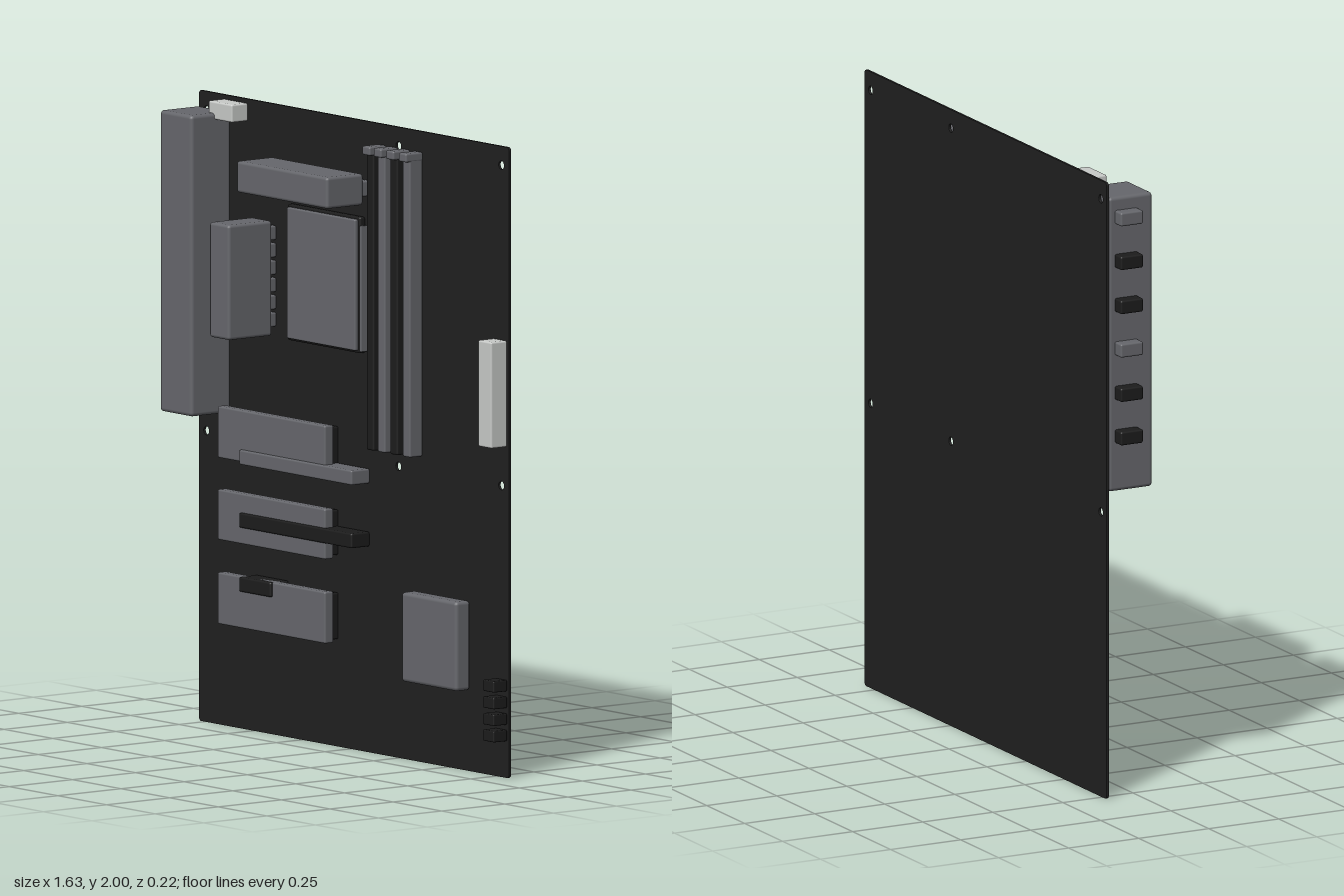
import * as THREE from 'three';
import { RoundedBoxGeometry } from 'three/addons/geometries/RoundedBoxGeometry.js';

const material = (name, color) => {
  const m = new THREE.MeshStandardMaterial({ color });
  m.name = name;
  return m;
};

export function createModel() {
  const board = material('board black', 0x202020);
  const dark = material('plastic black', 0x1c1c1c);
  const grey = material('metal grey', 0x66676c);
  const light = material('connector white', 0xc8cac8);
  const model = new THREE.Group();
  model.name = 'motherboard';
  const face = -0.102; // front surface of the board

  // Softened box given by its limits on each axis
  function block(name, mat, [x0, x1], [y0, y1], [z0, z1], bevel = 0.006) {
    const w = x1 - x0, h = y1 - y0, d = z1 - z0;
    const r = Math.min(bevel, 0.3 * Math.min(w, h, d));
    const mesh = new THREE.Mesh(new RoundedBoxGeometry(w, h, d, 2, r), mat);
    mesh.position.set((x0 + x1) / 2, (y0 + y1) / 2, (z0 + z1) / 2);
    mesh.name = name;
    model.add(mesh);
  }

  // Circuit board with rounded corners and screw holes
  const L = -0.78, R = 0.815, c = 0.012;
  const outline = new THREE.Shape();
  outline.absarc(R - c, c, c, -Math.PI / 2, 0);
  outline.absarc(R - c, 2 - c, c, 0, Math.PI / 2);
  outline.absarc(L + c, 2 - c, c, Math.PI / 2, Math.PI);
  outline.absarc(L + c, c, c, Math.PI, Math.PI * 1.5);
  for (const x of [-0.742, 0.246, 0.775]) {
    for (const y of [0.924, 1.94]) {
      outline.holes.push(new THREE.Path().absarc(x, y, 0.014, 0, Math.PI * 2, true));
    }
  }
  const pcb = new THREE.Mesh(
    new THREE.ExtrudeGeometry(outline, { depth: 0.008, bevelEnabled: false, curveSegments: 8 }), board);
  pcb.position.z = face - 0.008;
  pcb.name = 'circuitBoard';
  model.add(pcb);

  // Rear port cover and its ports
  block('portCover', grey, [-0.78, -0.615], [0.995, 1.95], [face, 0.055], 0.012);
  [1.885, 1.743, 1.6, 1.459, 1.315, 1.174].forEach((y, i) =>
    block('port', i % 3 ? dark : grey, [-0.82, -0.77], [y - 0.022, y + 0.022], [-0.08, 0]));

  // Power connectors
  block('processorPowerConnector', light, [-0.648, -0.527], [1.93, 1.987], [face, -0.037]);
  block('mainPowerConnector', light, [0.738, 0.807], [1.05, 1.387], [face, -0.037]);

  // Processor socket, lid and lever
  block('processorSocket', dark, [-0.297, 0.077], [1.264, 1.696], [face, -0.08]);
  block('processorLid', grey, [-0.287, 0.066], [1.272, 1.688], [-0.085, -0.068]);
  block('socketLever', grey, [0.079, 0.089], [1.27, 1.67], [face, -0.075], 0.003);

  // Heat sinks over rows of voltage regulators
  block('topHeatSink', grey, [-0.353, 0.115], [1.74, 1.84], [-0.065, 0.08], 0.01);
  block('sideHeatSink', grey, [-0.456, -0.354], [1.272, 1.637], [-0.065, 0.108], 0.01);
  for (let i = 0; i < 8; i++) {
    const x = -0.325 + i * 0.055;
    block('topRegulator', grey, [x, x + 0.046], [1.765, 1.815], [face, -0.062]);
  }
  for (let i = 0; i < 6; i++) {
    const y = 1.295 + i * 0.055;
    block('sideRegulator', grey, [-0.427, -0.38], [y, y + 0.046], [face, -0.062]);
  }

  // Memory slots with top clips
  [0.166, 0.224, 0.288, 0.353].forEach((x, i) => {
    block('memorySlot', i % 2 ? grey : dark, [x - 0.019, x + 0.019], [0.97, 1.93], [face, -0.05]);
    block('memoryClip', grey, [x - 0.02, x + 0.02], [1.907, 1.935], [face, -0.034]);
  });

  // Raised cover plates on dark bases
  for (const [y0, y1] of [[0.86, 1.024], [0.6, 0.76], [0.333, 0.497]]) {
    block('coverBase', dark, [-0.613, -0.06], [y0 + 0.008, y1 - 0.008], [face, -0.068]);
    block('coverPlate', grey, [-0.602, -0.048], [y0, y1], [-0.072, -0.037]);
  }

  // Expansion slots
  block('longExpansionSlot', grey, [-0.48, 0.1], [0.853, 0.9], [face, -0.028]);
  block('middleExpansionSlot', dark, [-0.48, 0.1], [0.653, 0.7], [face, -0.028]);
  block('shortExpansionSlot', dark, [-0.48, -0.317], [0.45, 0.497], [face, -0.028]);

  // Chipset heat sink
  block('chipsetHeatSink', grey, [0.333, 0.618], [0.257, 0.541], [face, -0.044], 0.012);

  // Edge headers
  for (const y of [0.293, 0.24, 0.187, 0.135]) {
    block('edgeHeader', dark, [0.75, 0.806], [y - 0.018, y + 0.018], [face, -0.048], 0.004);
  }
  return model;
}
